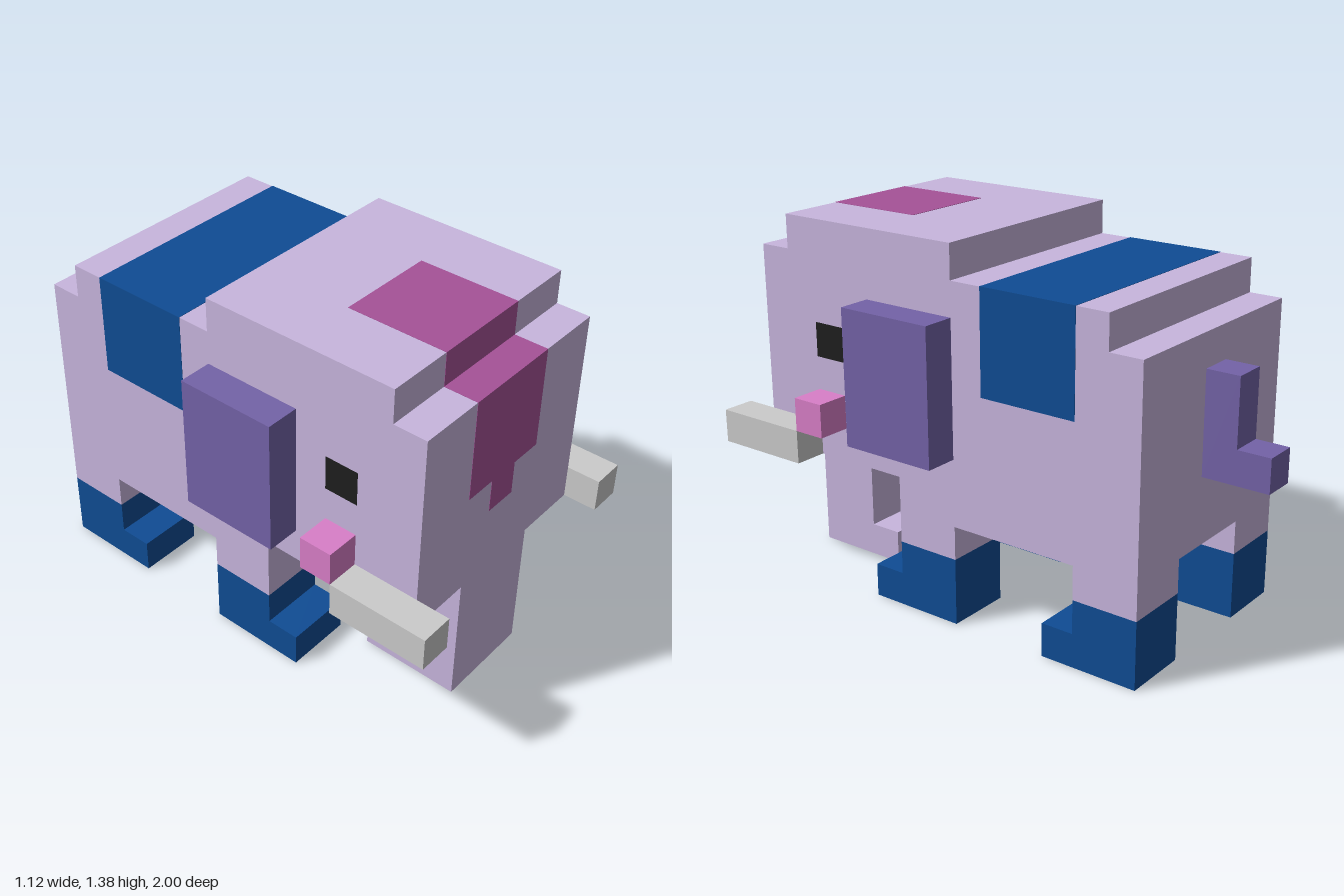
import * as THREE from 'three';

const U = 0.125; // one block

const mat = (color) => new THREE.MeshStandardMaterial({ color });

export function createModel() {
  const model = new THREE.Group();
  model.name = 'blockElephant';

  const skin = mat(0xc8b6de);
  const blue = mat(0x0f4c94);
  const violet = mat(0x7463a8);
  const magenta = mat(0xa65298);
  const pink = mat(0xd97fc8);
  const black = mat(0x1e1e1e);
  const grey = mat(0xcccccc);

  // Box from ranges in blocks; grow lifts colour patches just off the skin
  function box(name, material, [x0, x1], [y0, y1], [z0, z1], grow = 0) {
    const geo = new THREE.BoxGeometry(x1 - x0 + grow, y1 - y0 + grow, z1 - z0 + grow);
    geo.translate((x0 + x1) / 2, (y0 + y1) / 2, (z0 + z1) / 2).scale(U, U, U);
    const mesh = new THREE.Mesh(geo, material);
    mesh.name = name;
    model.add(mesh);
  }
  const PATCH = 0.02;

  // Head and body: one stepped side profile (z, y) extruded across x
  const profile = [
    [7, 4], [7, 10], [6, 10], [6, 11], [0, 11], [0, 10], [-5, 10],
    [-5, 9], [-6, 9], [-6, 3], [2, 3], [2, 4],
  ].map(([z, y]) => new THREE.Vector2(z, y));
  const bodyGeo = new THREE.ExtrudeGeometry(new THREE.Shape(profile), { depth: 7, bevelEnabled: false });
  bodyGeo.translate(0, 0, -3.5).rotateY(-Math.PI / 2).scale(U, U, U);
  const body = new THREE.Mesh(bodyGeo, skin);
  body.name = 'body';
  model.add(body);

  // Trunk with its tip curling back
  box('trunk', skin, [-1.5, 1.5], [0, 4], [5, 7]);
  box('trunkTip', skin, [-1.5, 1.5], [0, 1], [4, 5]);

  // Tail
  box('tail', violet, [-0.5, 0.5], [5, 8], [-7, -6]);
  box('tailTip', violet, [-0.5, 0.5], [5, 6], [-8, -7]);

  // Saddle blanket and forehead marking
  box('saddle', blue, [-3.5, 3.5], [7, 10], [-4, -1], PATCH);
  box('foreheadTop', magenta, [-1.5, 1.5], [9, 11], [3, 6], PATCH);
  box('foreheadFront', magenta, [-1.5, 1.5], [7, 10], [6, 7], PATCH);
  box('foreheadPoint', magenta, [-0.5, 0.5], [6, 7], [6, 7], PATCH);

  // Mirrored parts
  for (const [side, s] of [['left', 1], ['right', -1]]) {
    const span = (a, b) => (s > 0 ? [a, b] : [-b, -a]);
    const outer = span(3.5, 4.5);
    const leg = span(1.5, 3.5);
    box(side + 'Ear', violet, outer, [5, 9], [0, 3]);
    box(side + 'Cheek', pink, outer, [5, 6], [4, 5]);
    box(side + 'Tusk', grey, outer, [4, 5], [5, 8]);
    box(side + 'Eye', black, span(2.5, 3.5), [7, 8], [4, 5], PATCH);
    for (const [end, z] of [['Front', 0], ['Back', -6]]) {
      box(side + end + 'Leg', skin, leg, [2, 3], [z, z + 2]);
      box(side + end + 'Boot', blue, leg, [0, 2], [z, z + 2]);
      box(side + end + 'Toe', blue, leg, [0, 1], [z + 2, z + 3]);
    }
  }
  return model;
}
